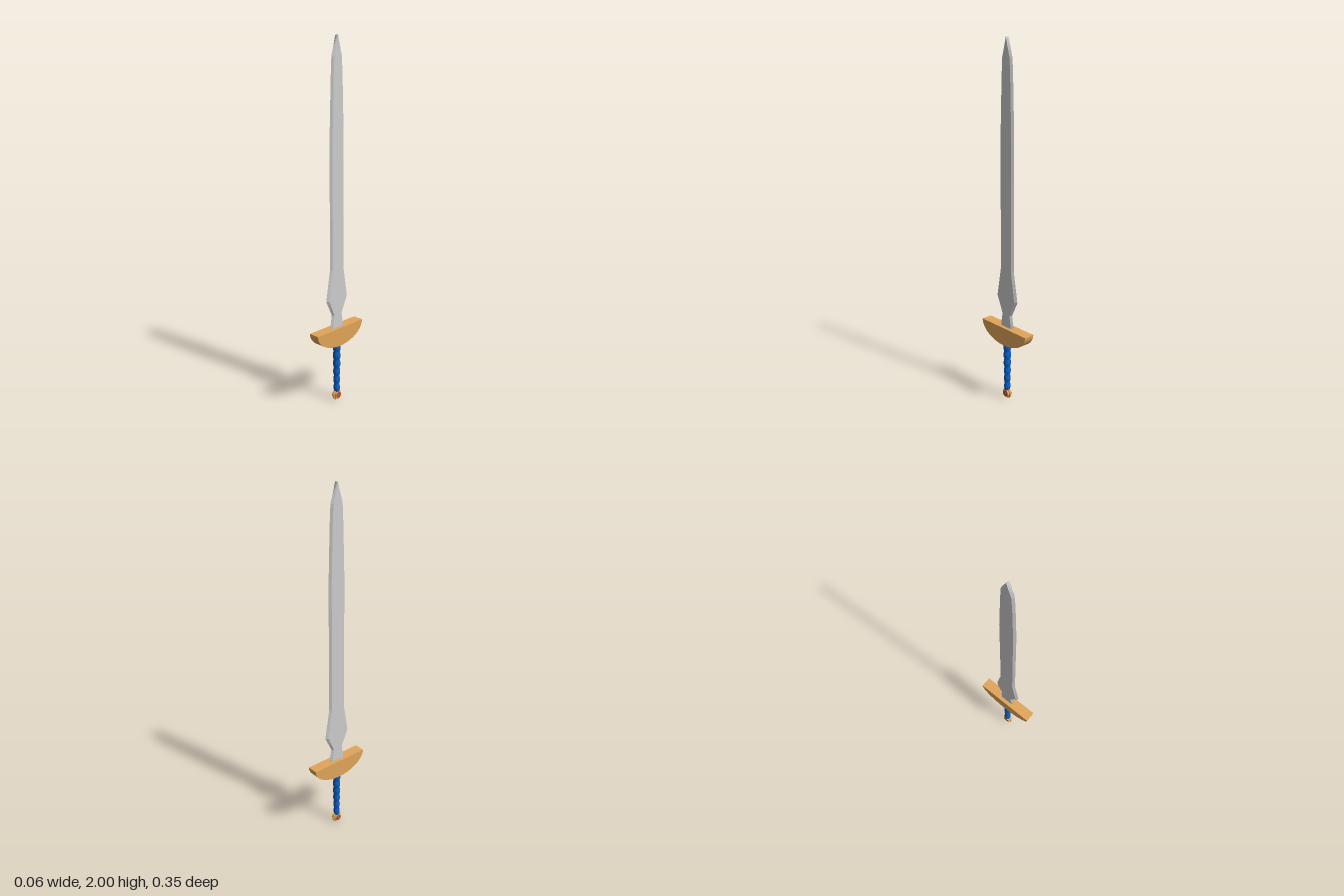
import * as THREE from 'three';
import { toCreasedNormals } from 'three/addons/utils/BufferGeometryUtils.js';

const mat = (color) => new THREE.MeshStandardMaterial({ color });
const steel = mat(0xcccccc);
steel.flatShading = true;
const gold = mat(0xe0a458), blue = mat(0x0a5fc4), red = mat(0xc8452f), teal = mat(0x18a888);

function add(parent, name, geometry, material) {
  const mesh = new THREE.Mesh(geometry, material);
  mesh.name = name;
  parent.add(mesh);
  return mesh;
}

// Hexagonal cross-sections stacked in y: [height, half width, half width of the flat]
function bladeGeometry() {
  const sections = [
    [0.43, 0.05, 0.038], [0.46, 0.049, 0.037], [0.52, 0.038, 0.028], [0.61, 0.081, 0.066],
    [0.78, 0.052, 0.04], [1.5, 0.052, 0.04], [1.8, 0.043, 0.032], [1.9, 0.038, 0.027],
    [1.94, 0.026, 0.016], [2.0, 0.001, 0.0005],
  ];
  const t = 0.01, pos = [], idx = [];
  for (const [y, w, f] of sections) {
    pos.push(0, y, w, t, y, f, t, y, -f, 0, y, -w, -t, y, -f, -t, y, f);
  }
  for (let s = 0; s < sections.length - 1; s++) {
    for (let i = 0; i < 6; i++) {
      const a = s * 6 + i, b = s * 6 + (i + 1) % 6;
      idx.push(a, b, b + 6, a, b + 6, a + 6);
    }
  }
  const top = (sections.length - 1) * 6;
  for (let i = 1; i < 5; i++) {
    idx.push(0, i + 1, i, top, top + i, top + i + 1);
  }
  const g = new THREE.BufferGeometry();
  g.setAttribute('position', new THREE.Float32BufferAttribute(pos, 3));
  g.setIndex(idx);
  g.computeVertexNormals();
  return g;
}

// Half-ellipse with a flat top, extruded across the blade's thickness
function guardGeometry() {
  const shape = new THREE.Shape();
  shape.absellipse(0, 0, 0.175, 0.105, Math.PI, Math.PI * 2, false);
  shape.closePath();
  const g = new THREE.ExtrudeGeometry(shape, { depth: 0.062, bevelEnabled: false, curveSegments: 32 });
  g.translate(0, 0, -0.031).rotateY(Math.PI / 2);
  return toCreasedNormals(g, 0.6);
}

// Tapered handle with a row of rounded wraps
function gripGeometry() {
  const wraps = 6, steps = 6, y0 = 0.05, y1 = 0.345, points = [new THREE.Vector2(0, y0)];
  for (let i = 0; i <= wraps * steps; i++) {
    const u = i / (wraps * steps);
    const bulge = Math.abs(Math.sin(u * wraps * Math.PI));
    points.push(new THREE.Vector2(0.014 + 0.005 * u + 0.005 * bulge, y0 + (y1 - y0) * u));
  }
  points.push(new THREE.Vector2(0, y1));
  return toCreasedNormals(new THREE.LatheGeometry(points, 20), 0.7);
}

export function createModel() {
  const sword = new THREE.Group();
  sword.name = 'sword';

  add(sword, 'blade', bladeGeometry(), steel);
  add(sword, 'guard', guardGeometry(), gold).position.y = 0.445;
  add(sword, 'grip', gripGeometry(), blue).scale.z = 0.92;

  // Round pommel facing sideways, with a ringed gem on both faces
  const pommel = new THREE.Group();
  pommel.name = 'pommel';
  pommel.position.y = 0.031;
  sword.add(pommel);
  const disc = (r, depth) => new THREE.CylinderGeometry(r, r, depth, 24).rotateZ(Math.PI / 2);
  add(pommel, 'pommelRim', new THREE.TorusGeometry(0.025, 0.006, 10, 28).rotateY(Math.PI / 2), gold);
  add(pommel, 'pommelCore', disc(0.022, 0.03), gold);
  add(pommel, 'pommelRing', disc(0.017, 0.033), red);
  add(pommel, 'gem', new THREE.SphereGeometry(0.013, 20, 14), teal).scale.x = 1.5;

  return sword;
}
